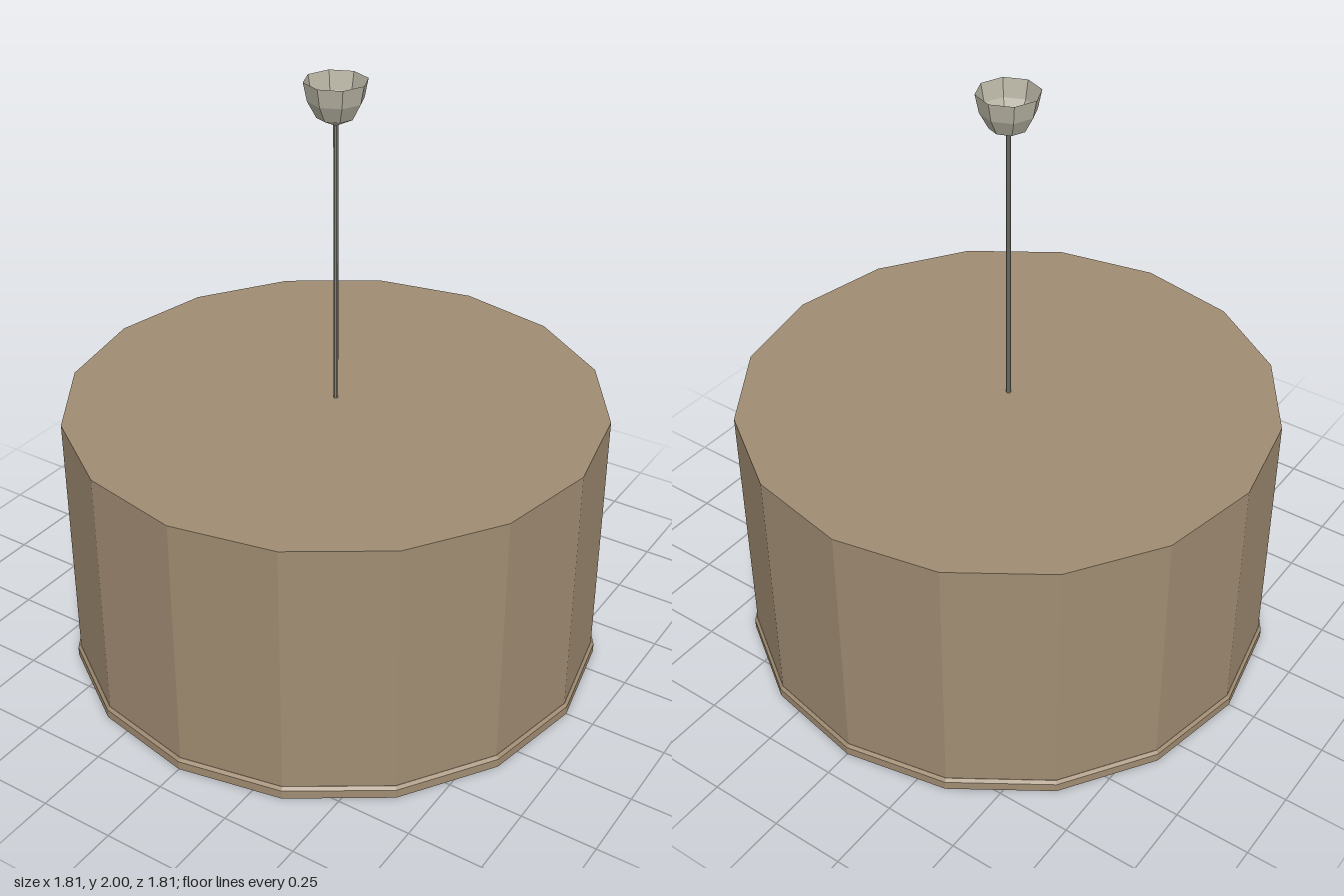
import * as THREE from 'three';

const SIDES = 16;

function material(name, color) {
  const m = new THREE.MeshStandardMaterial({ color, flatShading: true, side: THREE.DoubleSide });
  m.name = name;
  return m;
}

// Revolve [radius, height] points around the y axis
function lathe(name, points, sides, mat) {
  const profile = points.map(([r, y]) => new THREE.Vector2(r, y));
  const mesh = new THREE.Mesh(new THREE.LatheGeometry(profile, sides), mat);
  mesh.name = name;
  return mesh;
}

export function createModel() {
  const fabric = material('brown fabric', 0xa08c72);
  const metal = material('pale metal', 0xbab6a6);
  const cable = material('grey cable', 0x858379);

  const lamp = new THREE.Group();
  lamp.name = 'pendantLamp';

  // Drum shade: thin wall with a closed top and an open bottom
  lamp.add(lathe('shade', [[0.895, 0.03], [0.895, 0.917], [0, 0.917]], SIDES, fabric));

  // Bottom hem with a small bevel on its outer edge
  lamp.add(lathe('shadeRim', [
    [0.875, 0], [0.905, 0], [0.905, 0.03], [0.896, 0.04], [0.875, 0.04], [0.875, 0],
  ], SIDES, fabric));

  // Cable from the shade to the ceiling cup
  const cord = new THREE.Mesh(new THREE.CylinderGeometry(0.008, 0.008, 0.96, 8, 1, true), cable);
  cord.name = 'cord';
  cord.position.y = 1.395;
  lamp.add(cord);

  // Ceiling cup, open at the top
  lamp.add(lathe('ceilingCup', [
    [0, 1.857], [0.06, 1.887], [0.088, 1.94], [0.1, 2],
  ], 8, metal));

  return lamp;
}
